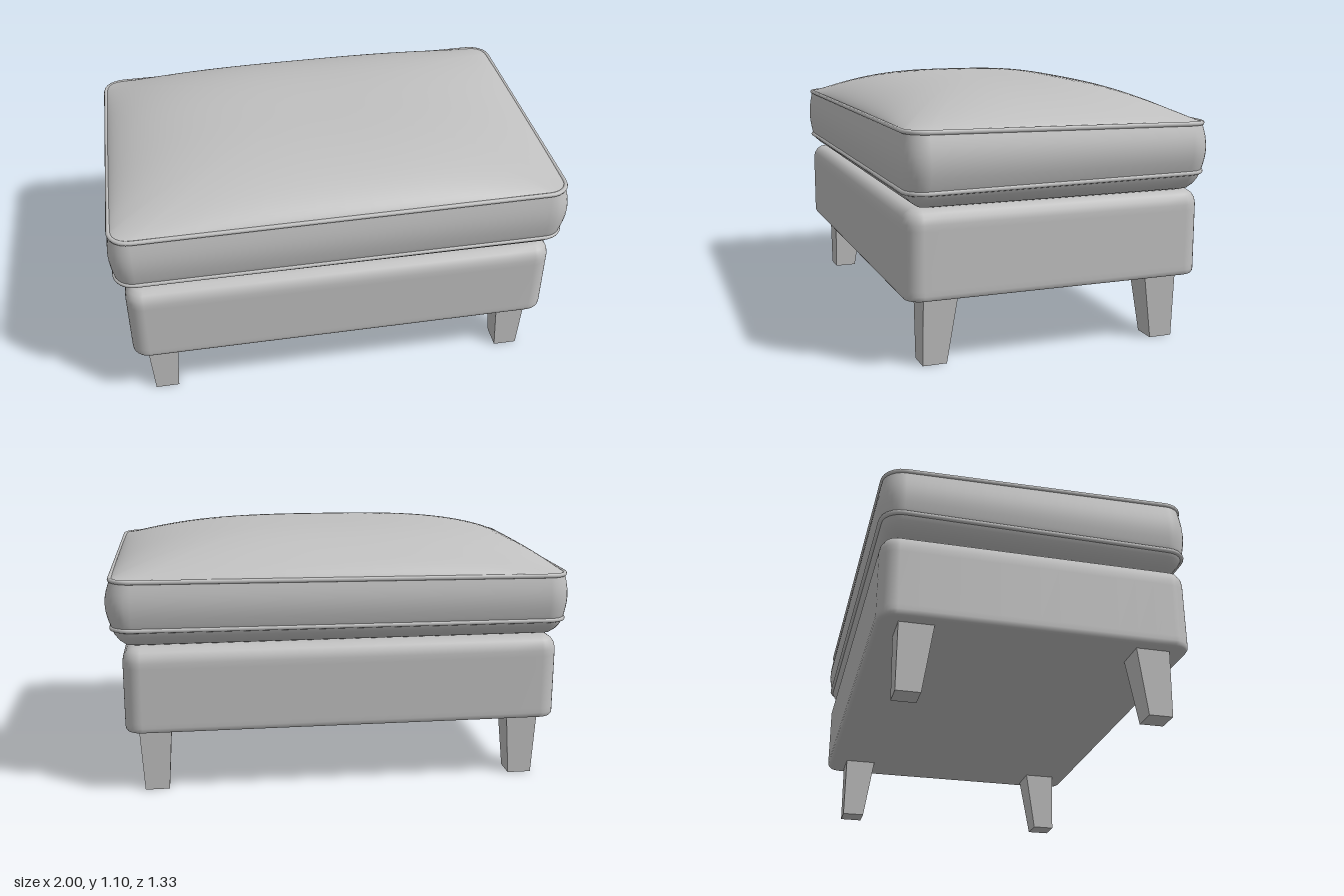
import * as THREE from 'three';

// Rounded rectangle outline in the xz plane, with a constant number of points
function outline(hx, hz, r, arc = 8, side = 14) {
  const pts = [];
  const corners = [[1, 1], [-1, 1], [-1, -1], [1, -1]];
  const corner = (k, t) => {
    const [sx, sz] = corners[k % 4];
    const a = (k + t) * Math.PI / 2;
    return new THREE.Vector2(sx * (hx - r) + r * Math.cos(a), sz * (hz - r) + r * Math.sin(a));
  };
  for (let k = 0; k < 4; k++) {
    for (let i = 0; i <= arc; i++) pts.push(corner(k, i / arc));
    const from = corner(k, 1), to = corner(k + 1, 0);
    for (let i = 1; i < side; i++) pts.push(from.clone().lerp(to, i / side));
  }
  return pts;
}

// Skin over a stack of equal-length closed rings of Vector3, from bottom to top
function loft(rings) {
  const n = rings[0].length, pos = [], idx = [];
  rings.forEach(ring => ring.forEach(p => pos.push(p.x, p.y, p.z)));
  for (let k = 0; k < rings.length - 1; k++) {
    for (let i = 0; i < n; i++) {
      const j = (i + 1) % n;
      const a = k * n + i, b = k * n + j, c = a + n, d = b + n;
      idx.push(a, c, b, b, c, d);
    }
  }
  const g = new THREE.BufferGeometry();
  g.setAttribute('position', new THREE.Float32BufferAttribute(pos, 3));
  g.setIndex(idx);
  g.computeVertexNormals();
  return g;
}

const ringAt = (pts, y, s = 1) => pts.map(p => new THREE.Vector3(p.x * s, y, p.y * s));

export function createModel() {
  const group = new THREE.Group();
  const upholstery = new THREE.MeshStandardMaterial({ color: 0xc0c0c0 });
  upholstery.name = 'upholstery grey';
  const add = (name, geometry, x = 0, y = 0, z = 0) => {
    const mesh = new THREE.Mesh(geometry, upholstery);
    mesh.name = name;
    mesh.position.set(x, y, z);
    group.add(mesh);
    return mesh;
  };

  // Padded base: [inset, height] profile, softer at the top edge
  const baseProfile = [[0.02, 0.285], [0.008, 0.289], [0.002, 0.297], [0, 0.31], [0, 0.33], [0, 0.57],
    [0, 0.595], [0.005, 0.618], [0.018, 0.638], [0.038, 0.651], [0.065, 0.655]];
  const baseRings = baseProfile.map(([d, y]) => ringAt(outline(0.945 - d, 0.652 - d, 0.075 - d), y));
  const baseCap = outline(0.925, 0.632, 0.055);
  baseRings.unshift(ringAt(baseCap, 0.285, 0.001), ringAt(baseCap, 0.285, 0.97));
  baseRings.push(ringAt(outline(0.88, 0.587, 0.01), 0.655, 0.001));
  add('base', loft(baseRings), -0.01, 0, 0.002);

  // Cushion: seam lines tilt slightly
  const hx = 0.979, hz = 0.651, r = 0.085;
  const upperSeam = (x, z) => 0.945 + 0.008 * x + 0.015 * z;
  const lowerSeam = (x, z) => 0.728 + 0.004 * x - 0.01 * z;
  const seamOutline = outline(hx, hz, r);

  // Underside, rolling out to the lower seam
  const cushionRings = [];
  const under = [[0.11, 0], [0.085, 0.015], [0.055, 0.13], [0.03, 0.37], [0.012, 0.65]];
  cushionRings.push(ringAt(outline(hx - 0.11, hz - 0.11, 0.02), 0.655, 0.001));
  for (const [d, t] of under) {
    cushionRings.push(outline(hx - d, hz - d, Math.max(r - d, 0.02)).map(p =>
      new THREE.Vector3(p.x, THREE.MathUtils.lerp(0.655, lowerSeam(p.x, p.y), t), p.y)));
  }
  // Side band, bulging a little between the seams
  for (let i = 0; i <= 8; i++) {
    const t = i / 8, bulge = 0.016 * Math.sin(Math.PI * t);
    cushionRings.push(outline(hx + bulge, hz + bulge, r + bulge).map(p =>
      new THREE.Vector3(p.x + (p.x > 0.9 ? bulge * 0.5 : 0),
        THREE.MathUtils.lerp(lowerSeam(p.x, p.y), upperSeam(p.x, p.y), t), p.y)));
  }
  // Domed crown
  const dome = u => Math.pow(Math.max(0, 1 - Math.pow(Math.abs(u), 3)), 0.7);
  for (let i = 1; i <= 24; i++) {
    const s = Math.max(0.001, Math.cos((i / 24) * Math.PI / 2));
    cushionRings.push(seamOutline.map(p => {
      const x = p.x * s, z = p.y * s, h = dome(x / hx) * dome(z / hz);
      return new THREE.Vector3(x, THREE.MathUtils.lerp(upperSeam(x, z), 1.1, h), z);
    }));
  }
  add('cushion', loft(cushionRings), -0.006);

  // Piping along both seams
  for (const [name, seam] of [['upperPiping', upperSeam], ['lowerPiping', lowerSeam]]) {
    const path = new THREE.CatmullRomCurve3(
      seamOutline.map(p => new THREE.Vector3(p.x, seam(p.x, p.y), p.y)), true);
    add(name, new THREE.TubeGeometry(path, 260, 0.01, 8, true), -0.006);
  }

  // Tapered legs: straight outer face in z, sloping inner face
  for (const sx of [1, -1]) {
    for (const sz of [1, -1]) {
      const leg = new THREE.BoxGeometry(1, 1, 1);
      const p = leg.attributes.position;
      for (let i = 0; i < p.count; i++) {
        const top = p.getY(i) > 0;
        const outer = p.getZ(i) * sz > 0;
        p.setXYZ(i, p.getX(i) * (top ? 0.142 : 0.105), top ? 0.295 : 0,
          sz * (outer ? 0.567 : top ? 0.42 : 0.465));
      }
      leg.computeVertexNormals();
      add((sz > 0 ? 'front' : 'back') + (sx > 0 ? 'Left' : 'Right') + 'Leg', leg,
        sx * 0.818 - 0.008, 0, 0.004);
    }
  }
  return group;
}
